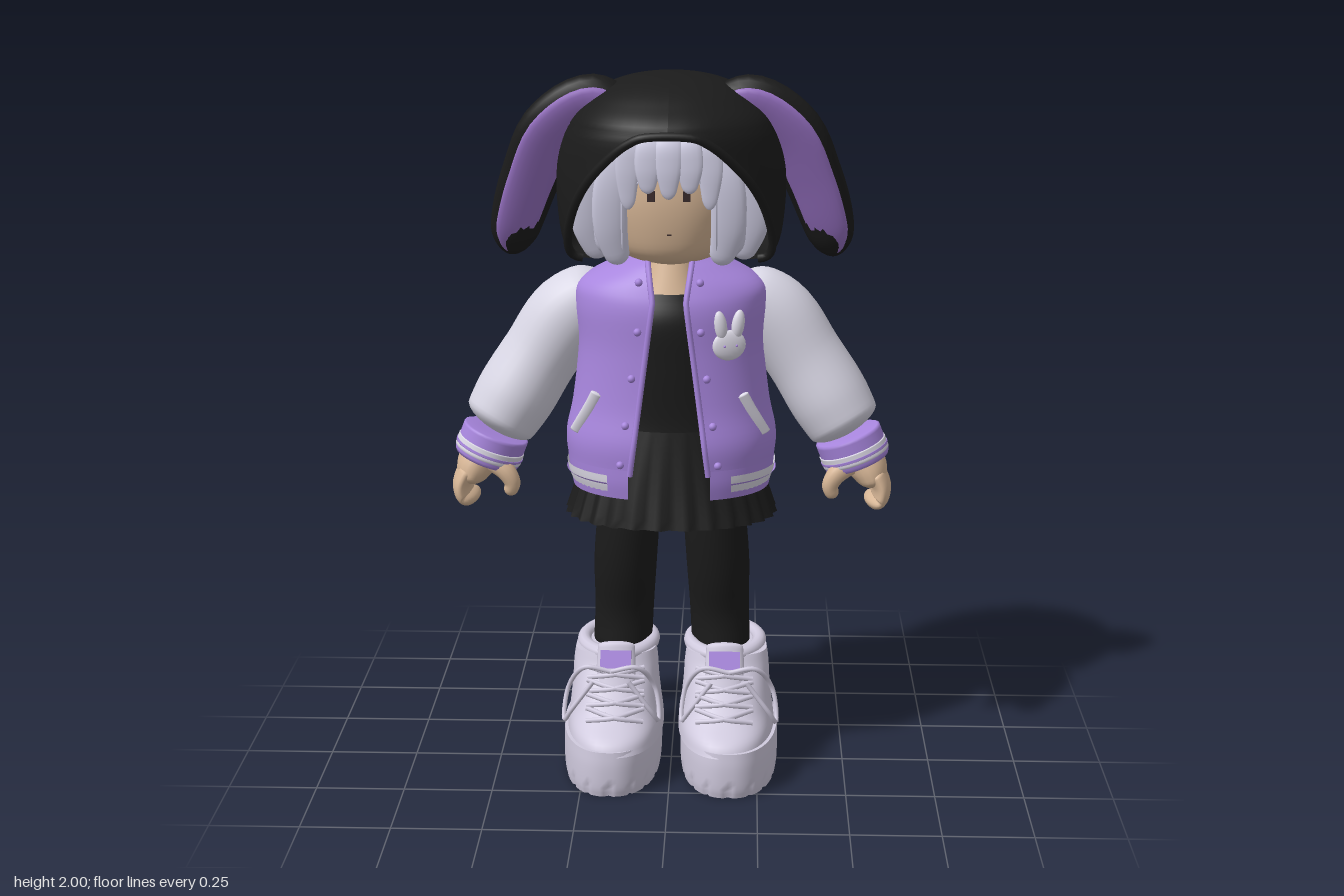
import * as THREE from 'three';

const mat = (name, color, double) => {
  const m = new THREE.MeshStandardMaterial({ color });
  m.name = name;
  if (double) m.side = THREE.DoubleSide;
  return m;
};
const V = (x, y, z) => new THREE.Vector3(x, y, z);
const P = 0.92, BOOT_P = 0.86; // roundness of ring cross-sections, 1 is an ellipse

// Smooth interpolation through the rows of a small table, t in 0..1
function sampler(table) {
  const n = table.length;
  const ip = new THREE.CubicInterpolant(table.map((_, i) => i), table.flat(), table[0].length, []);
  return t => Array.from(ip.evaluate(t * (n - 1)));
}

// Skin a surface over rows of points
function skin(rows, closed) {
  const n = rows[0].length, pos = [], idx = [];
  rows.forEach(r => r.forEach(p => pos.push(p.x, p.y, p.z)));
  for (let j = 0; j < rows.length - 1; j++) {
    for (let i = 0; i < (closed ? n : n - 1); i++) {
      const k = (i + 1) % n, a = j * n + i, b = j * n + k;
      idx.push(a, b, b + n, a, b + n, a + n);
    }
  }
  const g = new THREE.BufferGeometry();
  g.setAttribute('position', new THREE.Float32BufferAttribute(pos, 3));
  g.setIndex(idx);
  g.computeVertexNormals();
  return g;
}

// Stacked rounded rings; table rows are [y, half width, front z, back z]
function rings(table, { p = P, open = null, nu = 48, nv = 24, mod = null, caps = false } = {}) {
  const at = sampler(table), pw = v => Math.sign(v) * Math.abs(v) ** p, rows = [];
  for (let j = 0; j <= nv; j++) {
    const [y, rx, zf, zb] = at(j / nv), a0 = open ? open(y, rx, zf) : 0, row = [];
    for (let i = 0; i < nu + (open ? 1 : 0); i++) {
      const a = a0 + (i / nu) * (Math.PI * 2 - 2 * a0), c = Math.cos(a), m = mod ? mod(i, y) : 1;
      row.push(V(rx * pw(Math.sin(a)) * m, y, (c > 0 ? zf : -zb) * pw(c) * m));
    }
    rows.push(row);
  }
  if (caps) {
    const lo = rows[0], hi = rows[rows.length - 1];
    const flat = r => r.map(() => V(0, r[0].y, 0));
    rows.unshift(flat(lo), lo.map(q => q.clone()));
    rows.push(hi.map(q => q.clone()), flat(hi));
  }
  return rows;
}
const shell = (table, o = {}) => skin(rings(table, o), !o.open);
const gap = f => (y, rx) => Math.asin(Math.min(1, f(y) / rx) ** (1 / P));

// Front surface of a ring stack at x, y
function onFront(table, x, y, lift = 0, p = P) {
  const at = sampler(table);
  let best = at(0);
  for (let i = 1; i <= 120; i++) {
    const s = at(i / 120);
    if (Math.abs(s[0] - y) < Math.abs(best[0] - y)) best = s;
  }
  const k = Math.max(0, 1 - (Math.abs(x) / best[1]) ** (2 / p));
  return V(x, y, best[2] * k ** (p / 2) + lift);
}

// Elliptical sweep along a curve; radii are [width, thickness], ends rounded over e0 and e1
function sweep(pts, radii, { N = V(0, 0, 1), e0 = 0.08, e1 = 0.08, nu = 20, nv = 24 } = {}) {
  const curve = new THREE.CatmullRomCurve3(pts), at = sampler(radii), rows = [];
  const cap = (t, e) => t < e ? Math.sqrt(Math.max(0, 1 - (1 - t / e) ** 2)) : 1;
  for (let j = 0; j <= nv; j++) {
    const t = (1 - Math.cos(Math.PI * j / nv)) / 2, c = curve.getPoint(t), T = curve.getTangent(t);
    const W = N.clone().cross(T).normalize(), M = T.clone().cross(W);
    const [w, h] = at(t), k = cap(t, e0) * cap(1 - t, e1);
    rows.push(Array.from({ length: nu }, (_, i) => {
      const a = (i / nu) * Math.PI * 2;
      return c.clone().addScaledVector(W, w * k * Math.cos(a)).addScaledVector(M, h * k * Math.sin(a));
    }));
  }
  return skin(rows, true);
}
const tube = (pts, r, n = 40) => new THREE.TubeGeometry(new THREE.CatmullRomCurve3(pts), n, r, 8);

// Profiles
const HOOD = [[1.512, .13, .12, -.13], [1.502, .24, .235, -.215], [1.53, .292, .282, -.27], [1.65, .312, .29, -.293], [1.77, .308, .29, -.293],
  [1.87, .278, .287, -.268], [1.93, .228, .222, -.23], [1.97, .165, .15, -.165], [1.992, .09, .08, -.09], [2, 0, 0, 0]];
const HAIR = [[1.512, .215, .17, -.17], [1.56, .25, .192, -.21], [1.7, .265, .216, -.23], [1.84, .22, .209, -.2], [1.92, .1, .1, -.1]];
const HEAD = [[1.485, .06, .08, -.08], [1.51, .13, .15, -.13], [1.57, .17, .18, -.17], [1.69, .2, .195, -.19], [1.82, .17, .17, -.17], [1.9, .05, .05, -.05]];
const JACKET = [[.92, .288, .217, -.255], [1, .294, .222, -.28], [1.1, .274, .205, -.268], [1.25, .258, .196, -.235],
  [1.37, .266, .195, -.224], [1.43, .25, .176, -.214], [1.478, .165, .148, -.2], [1.505, .098, .125, -.18]];
const BOOT = [[.12, .139, .288, -.219], [.155, .136, .265, -.218], [.2, .13, .192, -.216], [.26, .124, .137, -.212], [.31, .121, .098, -.212], [.35, .115, .08, -.205]];

export function createModel() {
  const black = mat('black cloth', 0x1b1b1b, true), purple = mat('purple jacket', 0xa886de, true);
  const pale = mat('pale sleeve', 0xd8d6e4), boot = mat('boot lilac', 0xd0cade), hair = mat('silver hair', 0xd2d0e6, true);
  const skinTone = mat('skin', 0xd8b797), lining = mat('ear lining', 0x9872c4), dark = mat('eye brown', 0x3a2b2b);
  const trim = mat('white trim', 0xe4e1ee, true);
  const root = new THREE.Group();
  const add = (name, geo, m, parent = root) => {
    const mesh = new THREE.Mesh(geo, m);
    mesh.name = name;
    parent.add(mesh);
    return mesh;
  };

  // Hood with slanted face opening, tucked underside and rolled rim
  const hoodOpen = (y, rx, zf) => Math.acos(zf > 0 ? Math.min(1, (.08 + (y - 1.5) * .57) / zf) : 1);
  const hoodRows = rings(HOOD, { p: 1, open: hoodOpen, nu: 56, nv: 54 });
  add('hood', skin(hoodRows, false), black);
  const edge = hoodRows.filter((r, j) => j > 6 && r[0].y < 1.865);
  add('hoodRim', tube([...edge.map(r => r[r.length - 1]), ...edge.map(r => r[0]).reverse()], .012, 80), black);

  // Head, face and hair
  add('head', shell(HEAD, { caps: true }), skinTone);
  add('hair', shell(HAIR, { open: gap(y => .125 * Math.min(1, Math.max(0, 1 - (y - 1.71) / .05))) }), hair);
  [-.108, -.055, 0, .055, .108].forEach((x, i) => {
    const end = [1.655, 1.7, 1.685, 1.7, 1.655][i];
    const pts = [[.6, 1.9], [.85, 1.84], [1, 1.77], [1, end]].map(([k, y]) => onFront(HAIR, x * k, y, .002));
    add('fringeLock', sweep(pts, [[.034, .008], [.037, .01], [.035, .009], [.016, .006]], { nu: 14 }), hair);
  });
  for (const s of [-1, 1]) {
    [.15, .21].forEach((x, i) => {
      const pts = [[.7, 1.86], [1, 1.74], [1.05, 1.61], [.9, 1.496 + i * .008]].map(([k, y]) => onFront(HAIR, s * x * k, y, .001));
      add('sideLock', sweep(pts, [[.034, .01], [.044, .013], [.046, .016], [.03, .014]], { nu: 16 }), hair);
    });
    const eye = add('eye', new THREE.BoxGeometry(.02, .028, .006), dark);
    eye.position.copy(onFront(HEAD, s * .047, 1.69, .003));
    eye.rotation.y = s * .12;
  }
  const mouth = add('mouth', new THREE.BoxGeometry(.012, .004, .004), dark);
  mouth.position.copy(onFront(HEAD, 0, 1.585, .001));
  add('neck', shell([[1.34, .14, .13, -.1], [1.43, .085, .1, -.09], [1.52, .06, .07, -.07]]), skinTone);

  // Drooping ears with lining
  for (const s of [-1, 1]) {
    const pts = [[.12, 1.9, .035], [.215, 1.925, .032], [.318, 1.85, .015], [.382, 1.72, -.025], [.425, 1.6, -.062], [.455, 1.48, -.1]].map(([x, y, z]) => V(s * x, y, z));
    const w = [.05, .075, .09, .086, .077, .056], N = V(-s * .25, -.38, .9).normalize();
    add('ear', sweep(pts, w.map(r => [r, .052]), { N, e1: .13, nv: 36 }), black);
    add('earLining', sweep(pts.map((q, i) => q.clone().addScaledVector(N, .035).add(V(s * .008, i === 5 ? .022 : 0, 0))),
      w.map(r => [r * .77, .02]), { N, e0: .15, e1: .17, nv: 36 }), lining);
  }

  // Shirt and pleated skirt
  add('shirt', shell([[.95, .2, .15, -.17], [1.05, .18, .14, -.15], [1.2, .17, .15, -.15], [1.33, .17, .155, -.15], [1.41, .12, .125, -.12]]), black);
  const pleat = (i, y) => 1 + (1.03 - y) * .22 * ((i % 4) / 3 - .5);
  add('skirt', shell([[.765, .292, .212, -.262], [.87, .258, .188, -.225], [1.03, .19, .155, -.18]], { nu: 112, nv: 8, mod: pleat }), black);

  // Jacket body, collar, hem and front edges
  const half = y => y > 1.4 ? .045 + (y - 1.4) * .15 : .045 + (1.4 - y) * .13;
  const bodyRows = rings(JACKET, { open: gap(half), nv: 36, nu: 64 });
  add('jacketBody', skin(bodyRows, false), purple);
  for (const k of [0, 64]) add('jacketEdge', tube(bodyRows.map(r => r[k]), .008), purple);
  const band = (name, y0, y1, grow, m, open) => add(name, shell([[y0, .27 + grow, .205 + grow, -.238 - grow],
    [(y0 + y1) / 2, .279 + grow, .213 + grow, -.247 - grow], [y1, .284 + grow, .215 + grow, -.252 - grow]], { open: gap(() => open), nv: 6, nu: 64 }), m);
  band('jacketHem', .85, .935, .006, purple, .112);
  band('hemStripe', .866, .917, .009, trim, .17);
  band('hemLine', .887, .896, .0105, purple, .17);
  add('collar', shell([[1.475, .13, .145, -.18], [1.505, .1, .128, -.175], [1.53, .085, .11, -.155]], { open: gap(() => .052), nv: 8 }), purple);

  // Snaps and slanted pockets
  for (const s of [-1, 1]) {
    for (const y of [1.45, 1.32, 1.19, 1.06, .95]) {
      add('snap', new THREE.SphereGeometry(.011, 12, 8), purple).position.copy(onFront(JACKET, s * (half(y) + .03), y, .001));
    }
    const line = [[.198, 1.14], [.218, 1.1], [.24, 1.06], [.262, 1.02]];
    add('pocketWelt', sweep(line.map(([x, y]) => onFront(JACKET, s * x, y, .003)), line.map(() => [.017, .008]), { e0: .02, e1: .02 }), trim);
  }

  // Rabbit patch on the chest
  const patch = new THREE.Group();
  patch.name = 'rabbitPatch';
  patch.position.copy(onFront(JACKET, .162, 1.28, .004));
  patch.rotation.y = .35;
  root.add(patch);
  const oval = (name, x, y, rx, ry, tilt) => {
    const m = add(name, new THREE.SphereGeometry(1, 20, 12), trim, patch);
    m.scale.set(rx, ry, .014);
    m.position.set(x, y, 0);
    m.rotation.z = tilt;
  };
  oval('patchFace', 0, 0, .048, .042, 0);
  for (const s of [-1, 1]) {
    oval('patchEar', s * .025, .055, .018, .042, -s * .15);
    add('patchEye', new THREE.SphereGeometry(.004, 8, 6), purple, patch).position.set(s * .017, 0, .012);
  }

  for (const s of [-1, 1]) {
    const M = list => list.map(([x, y, z]) => V(s * x, y, z));
    // Sleeve and striped cuff
    add('sleeve', sweep(M([[.16, 1.405, -.05], [.28, 1.325, -.055], [.37, 1.2, -.055], [.442, 1.085, -.045], [.503, .985, -.025]]),
      [[.08, .09], [.112, .108], [.11, .113], [.113, .122], [.1, .105]], { e0: .14, e1: .08, nu: 28, nv: 36 }), pale);
    const cuff = (name, a, b, r, m) => {
      const at = t => [.495 + .035 * t, .985 - .09 * t, -.022];
      add(name, sweep(M([at(a), at(b)]), [[r, r * .96], [r, r * .96]], { e0: .1, e1: .1, nu: 28, nv: 12 }), m);
    };
    cuff('cuff', 0, 1, .095, purple);
    cuff('cuffStripe', .4, .82, .0975, trim);
    cuff('cuffLine', .56, .66, .099, purple);
    // Mitten hand with curled fingers and thumb
    add('palm', sweep(M([[.52, .94, -.02], [.555, .89, -.02], [.575, .835, -.02]]), [[.055, .065], [.055, .08], [.035, .08]], { e1: .25 }), skinTone);
    add('fingers', sweep(M([[.57, .89, -.02], [.594, .835, -.02], [.585, .797, -.02], [.55, .787, -.015]]),
      [[.03, .08], [.028, .086], [.025, .082], [.019, .068]], { e1: .2, nu: 28 }), skinTone);
    add('thumb', sweep(M([[.51, .915, .02], [.465, .88, .035], [.448, .845, .035], [.46, .81, .03]]),
      [[.035, .03], [.028, .027], [.023, .023], [.018, .018]], { e1: .15, nu: 14 }), skinTone);
    // Leg
    add('leg', sweep(M([[.115, .95, -.03], [.122, .76, -.03], [.133, .6, -.04], [.138, .45, -.065], [.145, .3, -.065]]),
      [[.088, .105], [.089, .106], [.09, .097], [.085, .087], [.085, .09]], { nu: 28 }), black);

    // Boot: treaded sole, upper, padded ankle and tongue
    const foot = new THREE.Group();
    foot.name = 'boot';
    foot.position.x = s * .168;
    root.add(foot);
    const lean = -s * .013;
    add('sole', shell([[0, .136, .282, -.216], [.03, .14, .289, -.22], [.09, .141, .291, -.222], [.135, .139, .287, -.22]],
      { p: BOOT_P, nu: 96, nv: 12, caps: true, mod: (i, y) => y < .04 && i % 6 === 0 ? .97 : 1 }), boot, foot);
    add('upper', shell(BOOT, { p: BOOT_P, caps: true }), boot, foot).position.x = lean * .6;
    const ankle = add('anklePad', new THREE.TorusGeometry(.1, .02, 12, 40), boot, foot);
    ankle.rotation.x = Math.PI / 2;
    ankle.scale.set(1, 1.3, 1);
    ankle.position.set(lean, .348, -.06);
    const tongue = add('tongue', sweep([V(0, .22, .135), V(0, .3, .095), V(0, .385, .065)], [[.05, .018], [.056, .02], [.052, .018]], { e1: .06 }), boot, foot);
    tongue.position.x = lean;
    const tab = add('tongueTab', new THREE.BoxGeometry(.088, .052, .008), purple, foot);
    tab.position.set(lean, .344, .106);
    tab.rotation.x = -.4;
    // Laces
    const L = (x, y, lift = .012) => onFront(BOOT, x, y, lift, BOOT_P).add(V(lean, 0, 0));
    for (let i = 0; i < 4; i++) {
      const y = .19 + i * .033;
      for (const d of [-1, 1]) add('lace', tube([L(-d * .08, y), L(0, y + .016, .02), L(d * .08, y + .026)], .0075, 16), boot, foot);
    }
    for (const d of [-1, 1]) {
      add('laceLoop', tube([V(0, .315, .125), V(d * .075, .325, .12), V(d * .125, .25, .085), V(d * .135, .165, .12),
        V(d * .115, .2, .14), V(d * .05, .29, .14)], .007), boot, foot);
    }
  }
  return root;
}
